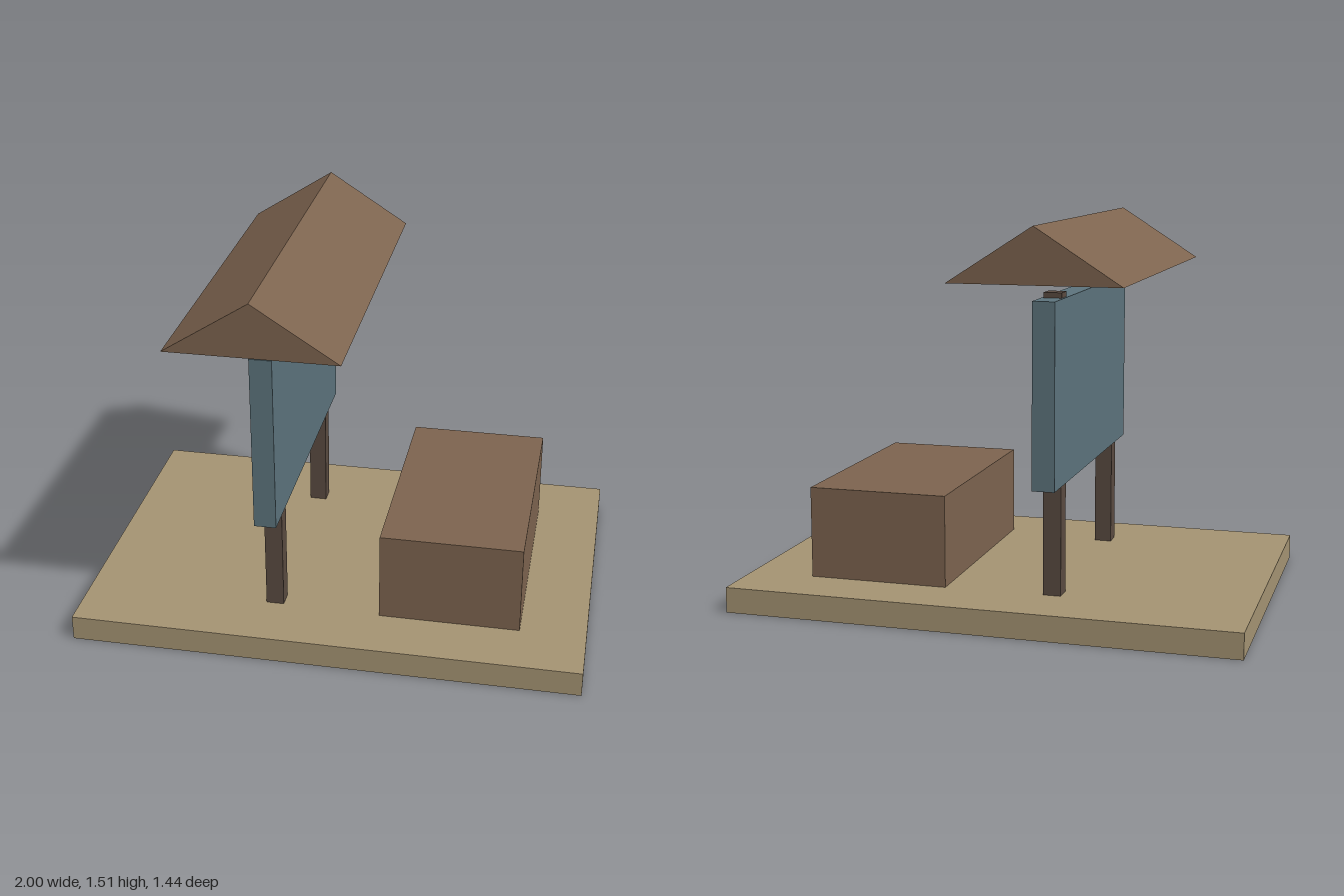
import * as THREE from 'three';

const material = (name, color) => {
  const m = new THREE.MeshStandardMaterial({ color });
  m.name = name;
  return m;
};

export function createModel() {
  const group = new THREE.Group();
  const sand = material('sand', 0xa59473);
  const brown = material('brown wood', 0x7d644f);
  const dark = material('dark wood', 0x5a4b41);
  const blue = material('slate blue', 0x5d747d);
  const signX = -0.235;

  const add = (name, geometry, mat, x, y, z) => {
    const mesh = new THREE.Mesh(geometry, mat);
    mesh.name = name;
    mesh.position.set(x, y, z);
    group.add(mesh);
  };
  // Box placed by the centre of its underside
  const box = (name, mat, w, h, d, x, y, z = 0) =>
    add(name, new THREE.BoxGeometry(w, h, d), mat, x, y + h / 2, z);

  // Ground slab and bench block
  box('base', sand, 2, 0.1, 1.4, 0, 0);
  box('bench', brown, 0.554, 0.36, 0.93, 0.464, 0.1);

  // Notice board on two posts
  for (const side of [-1, 1]) {
    box(side > 0 ? 'frontPost' : 'backPost', dark, 0.07, 1.15, 0.07, signX, 0.1, side * 0.42);
  }
  box('board', blue, 0.086, 0.7, 1.164, signX, 0.53);

  // Solid gable roof, ridge along z
  const gable = new THREE.Shape([
    new THREE.Vector2(-0.325, 0),
    new THREE.Vector2(0.325, 0),
    new THREE.Vector2(0, 0.208),
  ]);
  const roof = new THREE.ExtrudeGeometry(gable, { depth: 1.444, bevelEnabled: false });
  add('roof', roof, brown, signX, 1.3, -0.722);

  return group;
}
